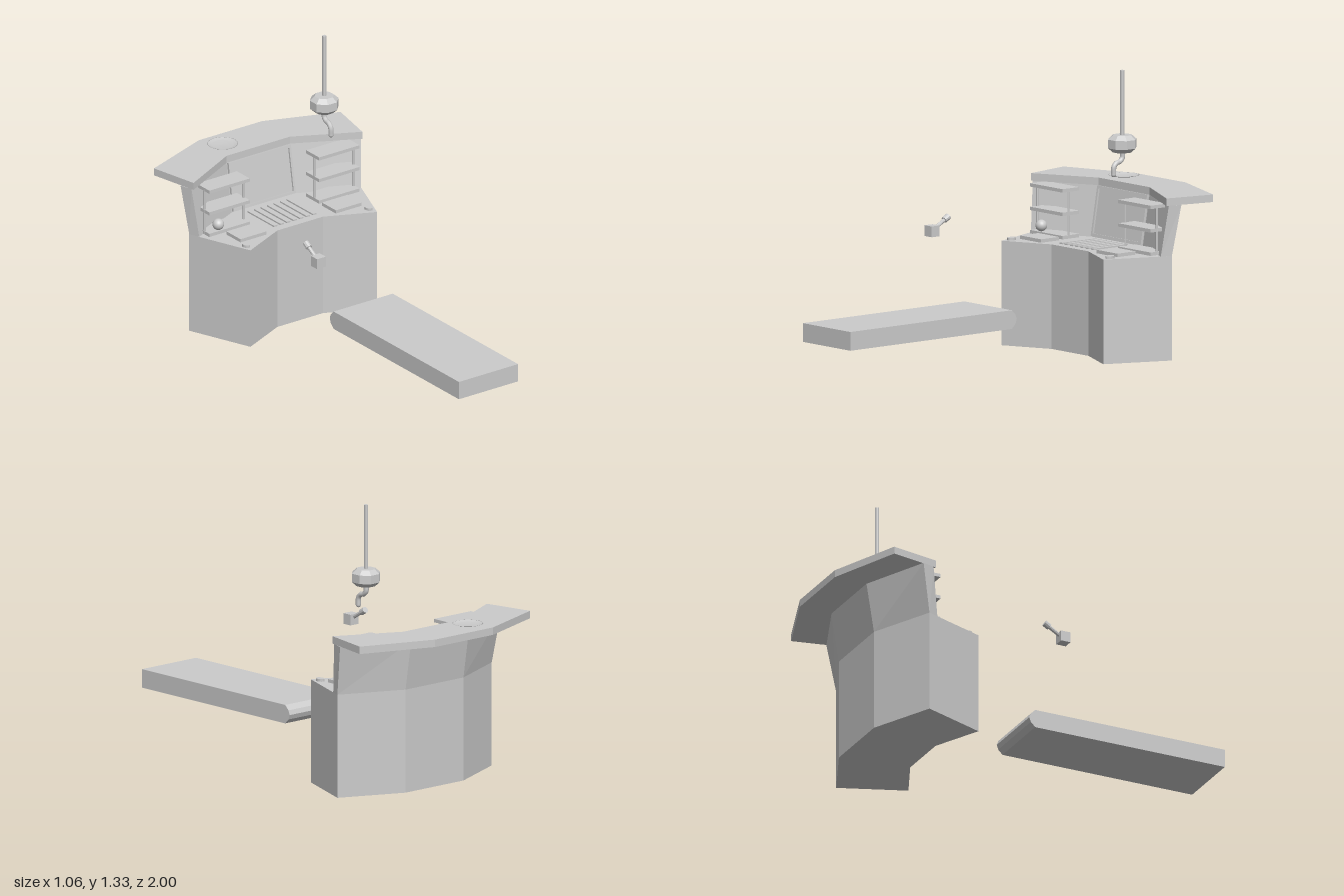
import * as THREE from 'three';

const grey = new THREE.MeshStandardMaterial({ color: 0xcccccc, flatShading: true });
const smooth = new THREE.MeshStandardMaterial({ color: 0xcccccc, side: THREE.DoubleSide });

// Full outline from its +x half, listed front to back (counter-clockwise from above)
const mirrorOutline = half => [...half, ...half.map(([x, z]) => [-x, z]).reverse()];

// Solid between a lower and an upper outline with matching corners
function loft(lower, y0, upper, y1) {
  const pos = [];
  const n = lower.length;
  const b = lower.map(([x, z]) => [x, y0, z]);
  const t = upper.map(([x, z]) => [x, y1, z]);
  const tri = (p, q, r) => pos.push(...p, ...q, ...r);
  for (let i = 0; i < n; i++) {
    const j = (i + 1) % n;
    tri(b[i], b[j], t[j]);
    tri(b[i], t[j], t[i]);
  }
  const cap = o => THREE.ShapeUtils.triangulateShape(o.map(([x, z]) => new THREE.Vector2(x, -z)), []);
  for (const [i, j, k] of cap(upper)) tri(t[i], t[j], t[k]);
  for (const [i, j, k] of cap(lower)) tri(b[k], b[j], b[i]);
  const geo = new THREE.BufferGeometry();
  geo.setAttribute('position', new THREE.Float32BufferAttribute(pos, 3));
  geo.computeVertexNormals();
  return geo;
}

export function createModel() {
  const model = new THREE.Group();
  const add = (name, geo, x = 0, y = 0, z = 0, mat = grey, parent = model) => {
    const mesh = new THREE.Mesh(geo, mat);
    mesh.name = name;
    mesh.position.set(x, y, z);
    parent.add(mesh);
    return mesh;
  };
  const box = (name, w, h, d, x, y, z, parent) =>
    add(name, new THREE.BoxGeometry(w, h, d), x, y, z, grey, parent);
  const deskY = 0.485;

  // Curved desk body
  const desk = mirrorOutline([[0.13, -0.46], [0.36, -0.355], [0.48, -0.665], [0.18, -0.80]]);
  add('deskBody', loft(desk, 0, desk, deskY), 0, 0, 0);

  // Back wall leaning outward, and the counter on it
  const wallLow = mirrorOutline([[0.18, -0.745], [0.46, -0.615], [0.48, -0.665], [0.18, -0.80]]);
  const wallHigh = mirrorOutline([[0.18, -0.785], [0.482, -0.645], [0.50, -0.705], [0.18, -0.838]]);
  add('backWall', loft(wallLow, deskY, wallHigh, 0.72));
  const counter = mirrorOutline([[0.18, -0.785], [0.48, -0.632], [0.53, -0.87], [0.18, -1]]);
  add('counterTop', loft(counter, 0.72, counter, 0.755));

  // Shallow dish on the counter
  const dish = [[0, 0.003], [0.04, 0.003], [0.071, 0.011], [0.068, 0.011], [0.055, 0.006], [0, 0.005]]
    .map(([r, y]) => new THREE.Vector2(r, y));
  add('dish', new THREE.LatheGeometry(dish, 32), -0.125, 0.754, -0.89, smooth);

  // Framed screen leaning with the wall
  const screen = new THREE.Group();
  screen.name = 'screen';
  screen.position.set(0, deskY, -0.747);
  screen.rotation.x = -Math.atan2(0.04, 0.235);
  model.add(screen);
  const rect = (s, w, y0, y1) => s.moveTo(-w, y0).lineTo(w, y0).lineTo(w, y1).lineTo(-w, y1).closePath();
  const frame = rect(new THREE.Shape(), 0.177, 0.004, 0.237);
  frame.holes.push(rect(new THREE.Path(), 0.166, 0.016, 0.224));
  add('screenFrame', new THREE.ExtrudeGeometry(frame, { depth: 0.014, bevelEnabled: false }), 0, 0, 0, grey, screen);
  box('screenPanel', 0.335, 0.212, 0.006, 0, 0.12, 0.002, screen);

  // Mirrored shelves, pads and buttons
  for (const side of [-1, 1]) {
    const shelves = new THREE.Group();
    shelves.name = side > 0 ? 'leftShelves' : 'rightShelves';
    model.add(shelves);
    for (const y of [0.495, 0.603, 0.712]) box('shelf', 0.23, 0.016, 0.1, side * 0.312, y, -0.632, shelves);
    for (const x of [0.202, 0.423])
      add('shelfPost', new THREE.CylinderGeometry(0.005, 0.005, 0.225, 8), side * x, 0.6, -0.622, grey, shelves);
    box('deskPad', 0.147, 0.016, 0.108, side * 0.271, deskY + 0.008, -0.507);
    const button = add('button', new THREE.CylinderGeometry(0.017, 0.017, 0.012, 20), side * 0.348, deskY + 0.006, -0.405);
    button.scale.z = 1.35;
  }

  // Row of keys in the middle of the desk
  for (let i = -3; i <= 3; i++) box('key', 0.02, 0.008, 0.205, i * 0.037, deskY + 0.003, -0.602);

  // Ball on the lower shelf
  add('ball', new THREE.SphereGeometry(0.027, 24, 16), -0.365, 0.53, -0.597, smooth);

  // Hanging arm: rod, eight-sided housing and bent hook
  const arm = new THREE.Group();
  arm.name = 'hangingArm';
  arm.position.set(0.226, 0, -0.582);
  model.add(arm);
  add('rod', new THREE.CylinderGeometry(0.01, 0.01, 0.31, 8), 0, 1.17, 0, grey, arm);
  const housing = [[0, 0.945], [0.045, 0.945], [0.068, 0.965], [0.068, 1.005], [0.045, 1.025], [0, 1.025]]
    .map(([r, y]) => new THREE.Vector2(r, y));
  const body = add('housing', new THREE.LatheGeometry(housing, 8), 0, 0, 0, grey, arm);
  body.rotation.y = Math.PI / 8;
  const path = new THREE.CatmullRomCurve3([
    [0.95, 0], [0.918, 0], [0.902, 0.015], [0.897, 0.035], [0.88, 0.05], [0.845, 0.052],
  ].map(([y, z]) => new THREE.Vector3(0, y, z)));
  add('hook', new THREE.TubeGeometry(path, 20, 0.012, 8), 0, 0, 0, smooth, arm);
  add('hookTip', new THREE.SphereGeometry(0.012, 8, 6), 0, 0.845, 0.052, smooth, arm);

  // Floating box with a tilted handle
  const tool = new THREE.Group();
  tool.name = 'handTool';
  tool.position.set(-0.311, 0.585, 0.104);
  model.add(tool);
  box('toolBox', 0.05, 0.05, 0.048, 0, 0, 0, tool);
  const handle = new THREE.Group();
  handle.name = 'toolHandle';
  handle.rotation.x = -Math.atan2(0.09, 0.053);
  tool.add(handle);
  add('toolStem', new THREE.CylinderGeometry(0.009, 0.009, 0.09, 8), 0, 0.05, 0, grey, handle);
  add('toolGrip', new THREE.CylinderGeometry(0.015, 0.015, 0.03, 10), 0, 0.098, 0, grey, handle);

  // Long bed with a rounded inner end
  const bed = new THREE.Shape([
    [1, 0.18], [1, 0.267], [0.03, 0.267], [0.008, 0.245], [0, 0.224], [0.008, 0.202], [0.03, 0.18],
  ].map(([z, y]) => new THREE.Vector2(-z, y)));
  const bedGeo = new THREE.ExtrudeGeometry(bed, { depth: 0.336, bevelEnabled: false });
  bedGeo.rotateY(Math.PI / 2);
  add('bed', bedGeo, -0.17, 0, 0);

  return model;
}
